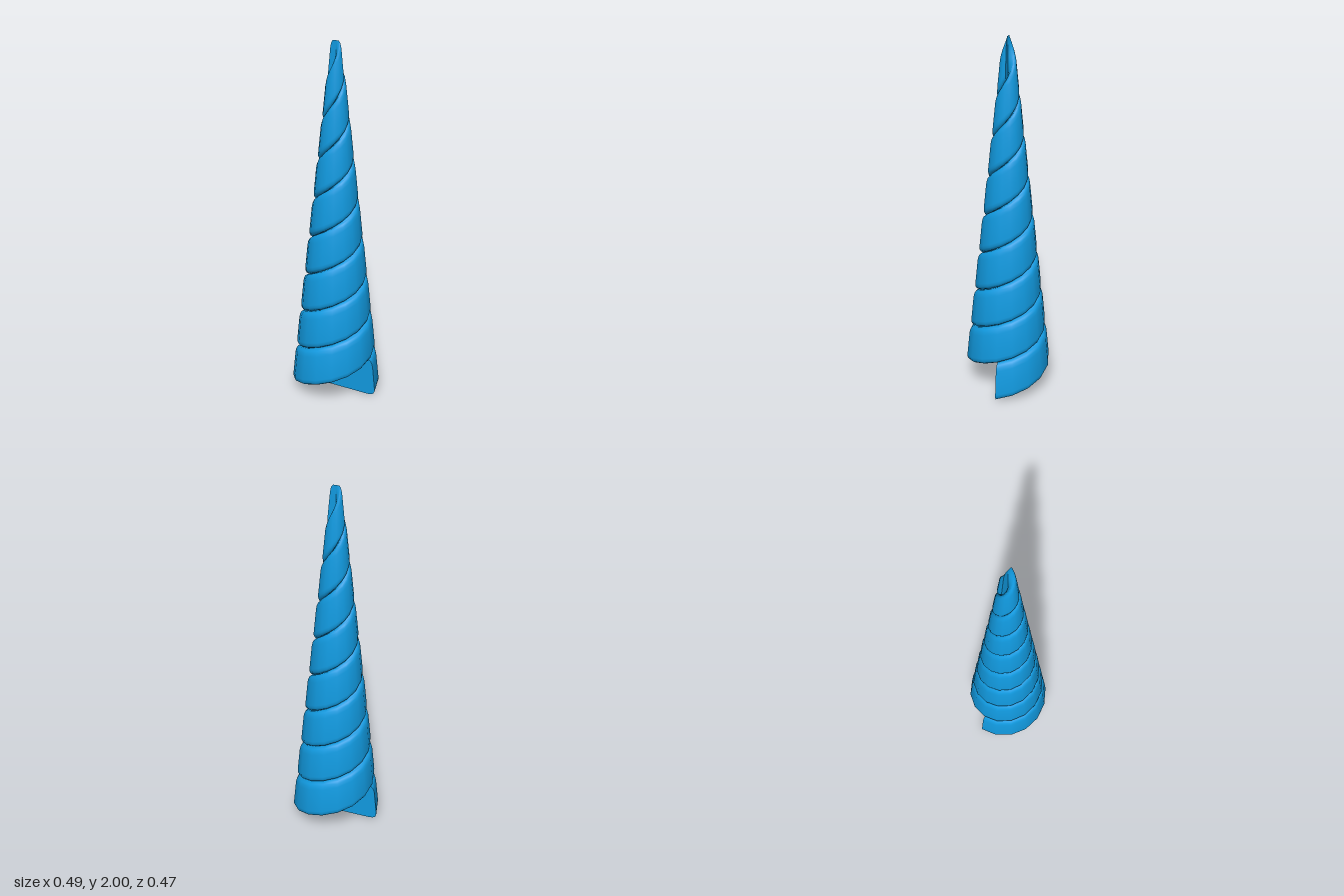
import * as THREE from 'three';
import { toCreasedNormals } from 'three/addons/utils/BufferGeometryUtils.js';

const HALF_TURNS = 8;              // each strand winds four full turns
const STEPS = HALF_TURNS * 8;      // 16 sides per turn
const BAND = 2 / 9;                // band height, equal to the rise per half turn

// Cross-section of a strand: from the axis along the underside,
// round the lower lip, up the slanted wall and back to the axis on top.
function section(R) {
  const s = 0.4 + 0.6 * (R / 0.25);
  const wall = [            // [inset, height]
    [0.05, 0], [0.026, 0.003], [0.011, 0.011], [0.002, 0.024], [0, 0.04],
    [0, 0.11], [0, 0.18], [0.003, 0.2], [0.009, 0.213], [0.022, BAND],
  ].map(([inset, y]) => [R - inset * s - 0.022 * (y / BAND), y]);
  const low = wall[0][0];
  const high = wall[wall.length - 1][0];
  return [
    [0, 0], [low * 0.33, 0], [low * 0.67, 0],
    ...wall,
    [high * 0.67, BAND], [high * 0.33, BAND], [0, BAND],
  ];
}

// Sweep the section up a tapering helix and cap both ends
function strandGeometry() {
  const positions = [], index = [];
  const n = section(0.25).length;
  for (let i = 0; i <= STEPS; i++) {
    const t = i / STEPS;
    const angle = t * HALF_TURNS * Math.PI;
    for (const [r, y] of section(0.25 - 0.2 * t)) {
      positions.push(-r * Math.cos(angle), y + t * HALF_TURNS * BAND, r * Math.sin(angle));
    }
  }
  for (let i = 0; i < STEPS; i++) {
    for (let j = 0; j < n - 1; j++) {
      const a = i * n + j, b = a + n;
      index.push(a, b, a + 1, b, b + 1, a + 1);
    }
  }
  const last = STEPS * n;
  for (let j = 1; j < n - 1; j++) {
    index.push(0, j, j + 1);
    index.push(last, last + j + 1, last + j);
  }
  const geometry = new THREE.BufferGeometry();
  geometry.setAttribute('position', new THREE.Float32BufferAttribute(positions, 3));
  geometry.setIndex(index);
  return toCreasedNormals(geometry, 0.8);
}

export function createModel() {
  const horn = new THREE.Group();
  horn.name = 'spiralHorn';
  const material = new THREE.MeshStandardMaterial({ color: 0x119ae0 });
  const geometry = strandGeometry();

  // Two identical strands, half a turn apart
  ['firstStrand', 'secondStrand'].forEach((name, k) => {
    const strand = new THREE.Mesh(geometry, material);
    strand.name = name;
    strand.rotation.y = k * Math.PI;
    horn.add(strand);
  });
  return horn;
}
